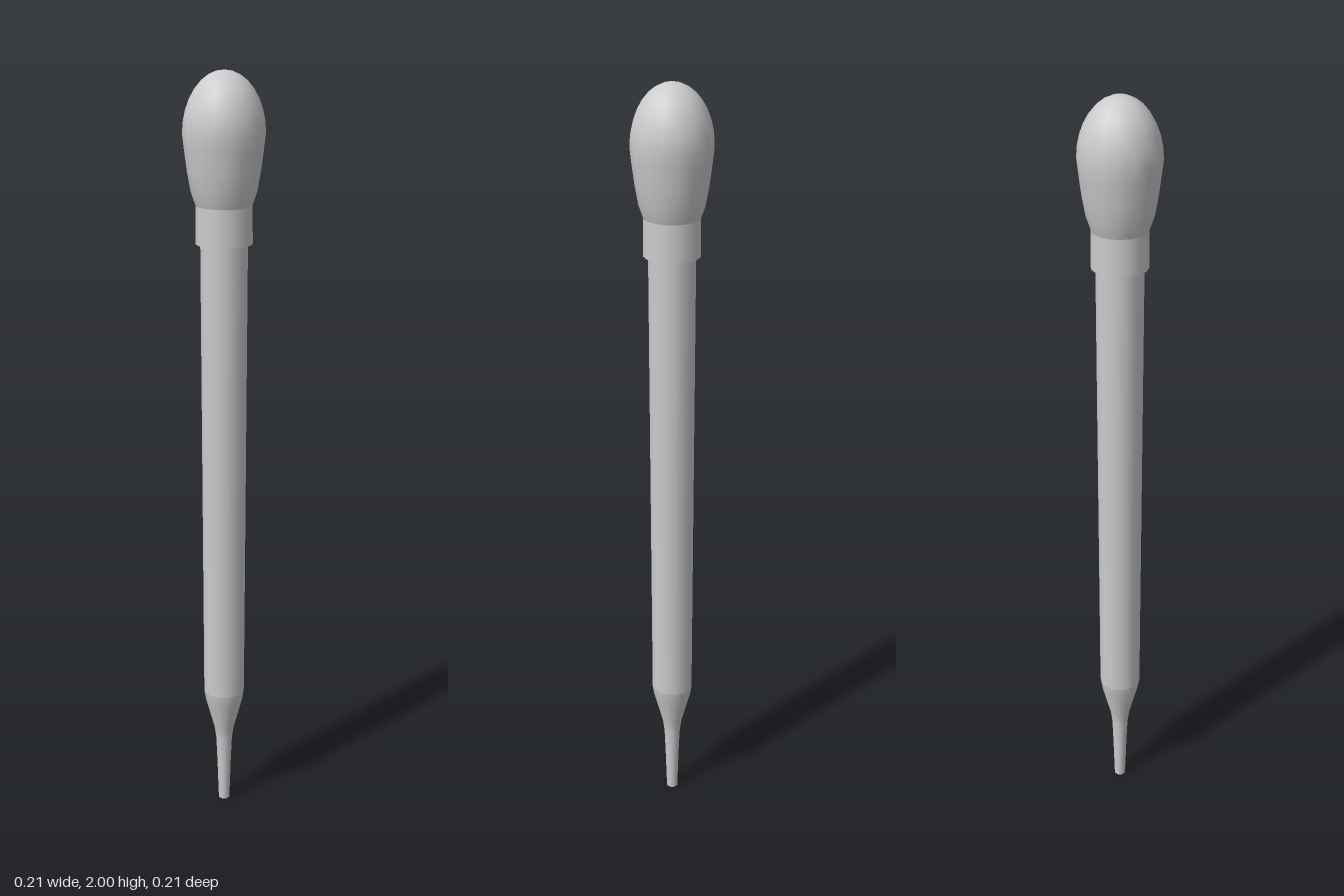
import * as THREE from 'three';

const SIDES = 16;
const material = new THREE.MeshStandardMaterial({ color: 0xcccccc, side: THREE.DoubleSide });

// Revolve a [radius, height] profile, listed from bottom to top
function turned(name, profile) {
  const points = profile.map(([r, y]) => new THREE.Vector2(r, y));
  const mesh = new THREE.Mesh(new THREE.LatheGeometry(points, SIDES), material);
  mesh.name = name;
  return mesh;
}

export function createModel() {
  const group = new THREE.Group();
  group.name = 'dropper';

  // Rubber squeeze bulb: flared lower half and a domed crown
  const bulb = [[0.071, 1.675], [0.083, 1.71], [0.092, 1.76], [0.099, 1.815], [0.103, 1.85]];
  const domeSteps = 8;
  for (let i = 1; i <= domeSteps; i++) {
    const a = (i / domeSteps) * Math.PI / 2;
    bulb.push([i === domeSteps ? 0 : 0.103 * Math.cos(a), 1.85 + 0.15 * Math.sin(a)]);
  }
  group.add(turned('bulb', bulb));

  // Collar gripping the tube, with its underside rim
  group.add(turned('collar', [[0.072, 1.58], [0.071, 1.675]]));
  group.add(turned('collarRim', [[0.058, 1.58], [0.072, 1.58]]));

  // Glass tube, slightly narrower towards the bottom
  group.add(turned('tube', [[0.055, 0.34], [0.06, 1.6]]));

  // Taper running into the fine nozzle
  group.add(turned('nozzle', [
    [0.015, 0], [0.019, 0.12], [0.022, 0.19], [0.027, 0.225], [0.051, 0.315], [0.055, 0.34],
  ]));
  group.add(turned('nozzleEnd', [[0, 0], [0.015, 0]]));

  return group;
}
